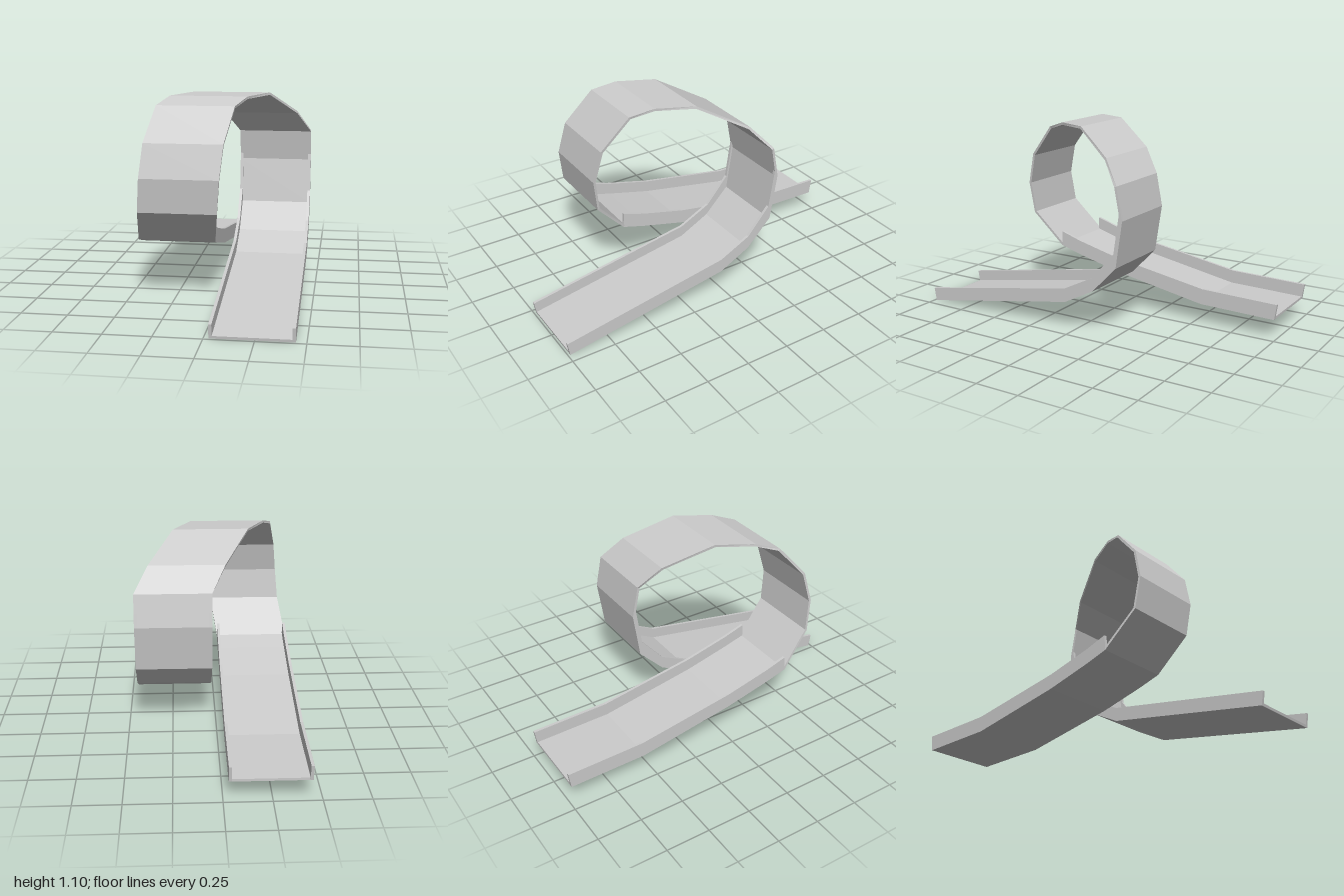
import * as THREE from 'three';

const material = new THREE.MeshStandardMaterial({ color: 0xcccccc, flatShading: true });
const HALF = 0.211, WALL = 0.016, THICK = 0.014;
const ENTRY_X = 0.237, EXIT_X = -0.239;

// Sweeps a four-cornered section; each ring runs low-left, low-right, high-right, high-left
function sweep(name, rings) {
  const pos = [];
  const quad = (a, b, c, d) => [a, b, c, a, c, d].forEach((p) => pos.push(...p));
  for (let i = 0; i < rings.length - 1; i++) {
    const a = rings[i], b = rings[i + 1];
    for (let k = 0; k < 4; k++) {
      const j = (k + 1) % 4;
      quad(a[k], b[k], b[j], a[j]);
    }
  }
  quad(...rings[0]);
  quad(...[...rings[rings.length - 1]].reverse());
  const geometry = new THREE.BufferGeometry();
  geometry.setAttribute('position', new THREE.Float32BufferAttribute(pos, 3));
  geometry.computeVertexNormals();
  const mesh = new THREE.Mesh(geometry, material);
  mesh.name = name;
  return mesh;
}

// Section spanning x0..x1 between an underside point and an upper point, both [z, y]
const section = (x0, x1, [z, y], [tz, ty]) => [[x0, y, z], [x1, y, z], [x1, ty, tz], [x0, ty, tz]];

// Underside path as [z, y], with wall top [z, y] where there is a wall
const entry = [
  [0.987, 0.003, 1.0, 0.078], [0.04, 0.167, 0.04, 0.245], [-0.14, 0.26, -0.14, 0.335],
  [-0.285, 0.41, -0.272, 0.488], [-0.325, 0.67, -0.311, 0.745],
];
const exit = [
  [0.39, 0.325, 0.385, 0.41], [0.26, 0.287, 0.26, 0.37], [0.0, 0.222, 0.0, 0.305],
  [-0.55, 0.122, -0.56, 0.21], [-0.987, 0.113, -1.0, 0.2],
];
// Loop underside as [z, y, centre x]
const loop = [
  [-0.29, 0.85, 0.237], [-0.18, 0.975, 0.16], [0.07, 1.105, 0.022], [0.265, 1.1, -0.08],
  [0.39, 1.06, -0.133], [0.545, 0.88, -0.173], [0.59, 0.7, -0.19], [0.565, 0.515, -0.205],
];

export function createModel() {
  const group = new THREE.Group();
  group.name = 'loopTrack';

  // Floor: one continuous ribbon, thickened toward the inside of the loop
  const path = [
    ...entry.map(([z, y]) => [z, y, ENTRY_X]),
    ...loop,
    ...exit.map(([z, y]) => [z, y, EXIT_X]),
  ];
  group.add(sweep('trackFloor', path.map(([z, y, x], i) => {
    const p = path[Math.max(i - 1, 0)], q = path[Math.min(i + 1, path.length - 1)];
    const tz = q[0] - p[0], ty = q[1] - p[1], len = Math.hypot(tz, ty);
    const inner = [z + (ty / len) * THICK, y - (tz / len) * THICK];
    return section(x - HALF, x + HALF, [z, y], inner);
  })));

  // Side walls of the entry and exit ramps
  for (const [name, ramp, x] of [['entry', entry, ENTRY_X], ['exit', exit, EXIT_X]]) {
    for (const side of [-1, 1]) {
      const x0 = side < 0 ? x - HALF : x + HALF - WALL;
      group.add(sweep(name + (side < 0 ? 'RightWall' : 'LeftWall'),
        ramp.map(([z, y, tz, ty]) => section(x0, x0 + WALL, [z, y], [tz, ty]))));
    }
  }
  return group;
}
